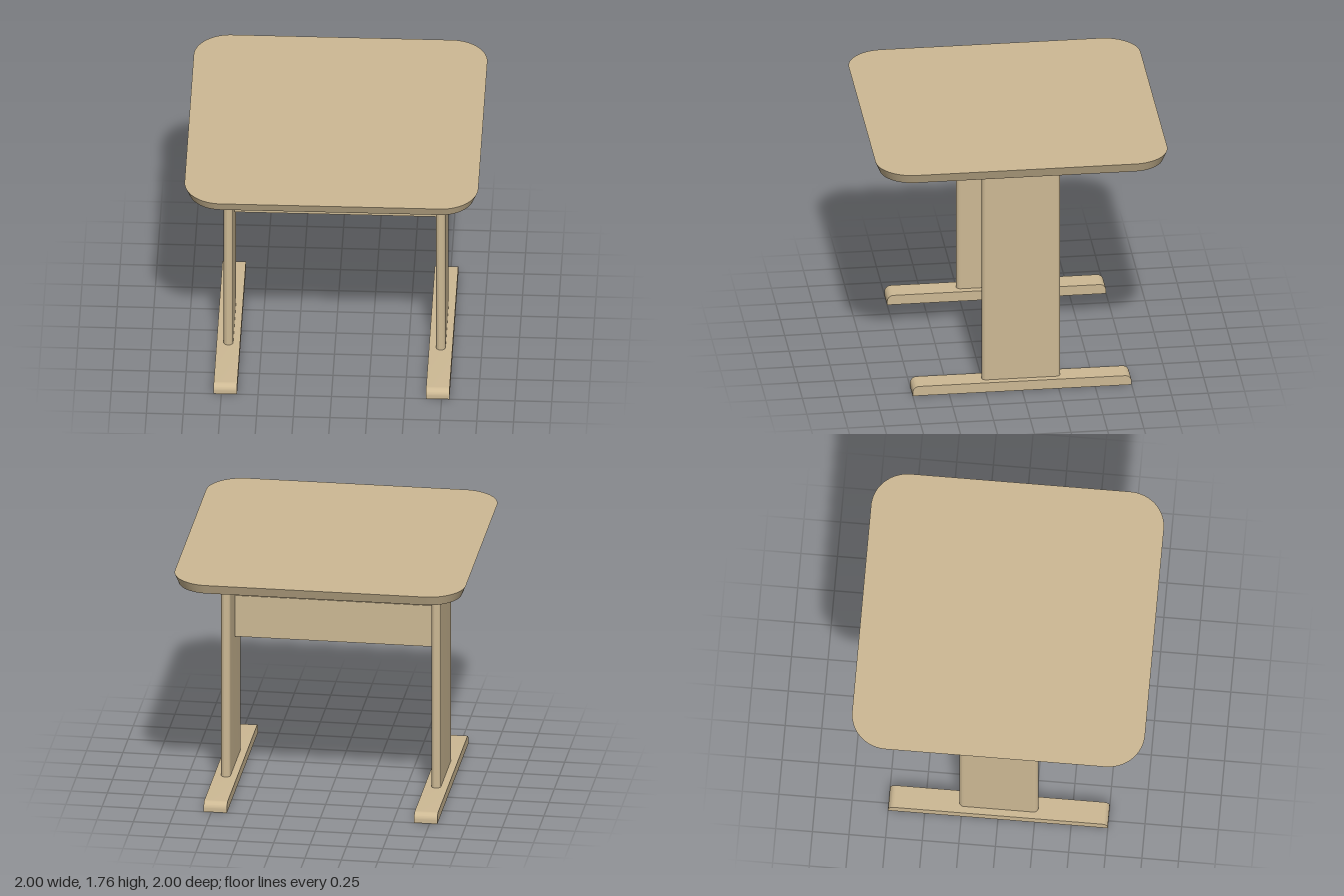
import * as THREE from 'three';
import { toCreasedNormals } from 'three/addons/utils/BufferGeometryUtils.js';

const wood = new THREE.MeshStandardMaterial({ color: 0xcdb994 });
wood.name = 'light wood';

function add(parent, name, geometry, x = 0, y = 0, z = 0) {
  const mesh = new THREE.Mesh(geometry, wood);
  mesh.name = name;
  mesh.position.set(x, y, z);
  parent.add(mesh);
}

// Rectangle centred on the origin with four rounded corners
function roundedRect(halfW, halfH, r) {
  const s = new THREE.Shape();
  s.absarc(halfW - r, halfH - r, r, 0, Math.PI / 2);
  s.absarc(r - halfW, halfH - r, r, Math.PI / 2, Math.PI);
  s.absarc(r - halfW, r - halfH, r, Math.PI, Math.PI * 1.5);
  s.absarc(halfW - r, r - halfH, r, Math.PI * 1.5, Math.PI * 2);
  return s;
}

// Extrude a plan shape upwards from y = 0
function extrudeUp(shape, height) {
  const g = new THREE.ExtrudeGeometry(shape, { depth: height, bevelEnabled: false, curveSegments: 12 });
  return g.rotateX(-Math.PI / 2);
}

// Table top: rounded square whose rim slopes inwards towards the underside
function tableTop() {
  const core = 0.75, taper = 0.22 / 0.25;
  const g = extrudeUp(roundedRect(1, 1, 0.25), 0.07);
  const p = g.attributes.position;
  for (let i = 0; i < p.count; i++) {
    if (p.getY(i) > 0.03) continue;
    const cx = THREE.MathUtils.clamp(p.getX(i), -core, core);
    const cz = THREE.MathUtils.clamp(p.getZ(i), -core, core);
    p.setX(i, cx + (p.getX(i) - cx) * taper);
    p.setZ(i, cz + (p.getZ(i) - cz) * taper);
  }
  return toCreasedNormals(g, 0.6);
}

// Foot: side profile with rounded upper ends, running along z
function foot() {
  const l = 0.75, h = 0.07, r = 0.045, w = 0.16;
  const s = new THREE.Shape();
  s.moveTo(-l, 0);
  s.lineTo(l, 0);
  s.absarc(l - r, h - r, r, 0, Math.PI / 2);
  s.absarc(r - l, h - r, r, Math.PI / 2, Math.PI);
  const g = new THREE.ExtrudeGeometry(s, { depth: w, bevelEnabled: false, curveSegments: 8 });
  g.translate(0, 0, -w / 2).rotateY(Math.PI / 2);
  return toCreasedNormals(g, 0.6);
}

export function createModel() {
  const table = new THREE.Group();
  table.name = 'table';

  add(table, 'tableTop', tableTop(), 0, 1.687, 0);

  // Two trestles: foot, round-edged upright and cleat under the top
  for (const side of [-1, 1]) {
    const trestle = new THREE.Group();
    trestle.name = side > 0 ? 'leftTrestle' : 'rightTrestle';
    trestle.position.x = side * 0.723;
    add(trestle, 'foot', foot());
    add(trestle, 'upright',
      toCreasedNormals(extrudeUp(roundedRect(0.0325, 0.27, 0.032), 1.565), 0.6), 0, 0.07, 0);
    add(trestle, 'cleat', new THREE.BoxGeometry(0.15, 0.053, 1.5), 0, 1.6605, 0);
    table.add(trestle);
  }

  // Stretcher board between the uprights
  add(table, 'stretcher', new THREE.BoxGeometry(1.39, 0.3, 0.05), 0, 1.155, 0);

  return table;
}
